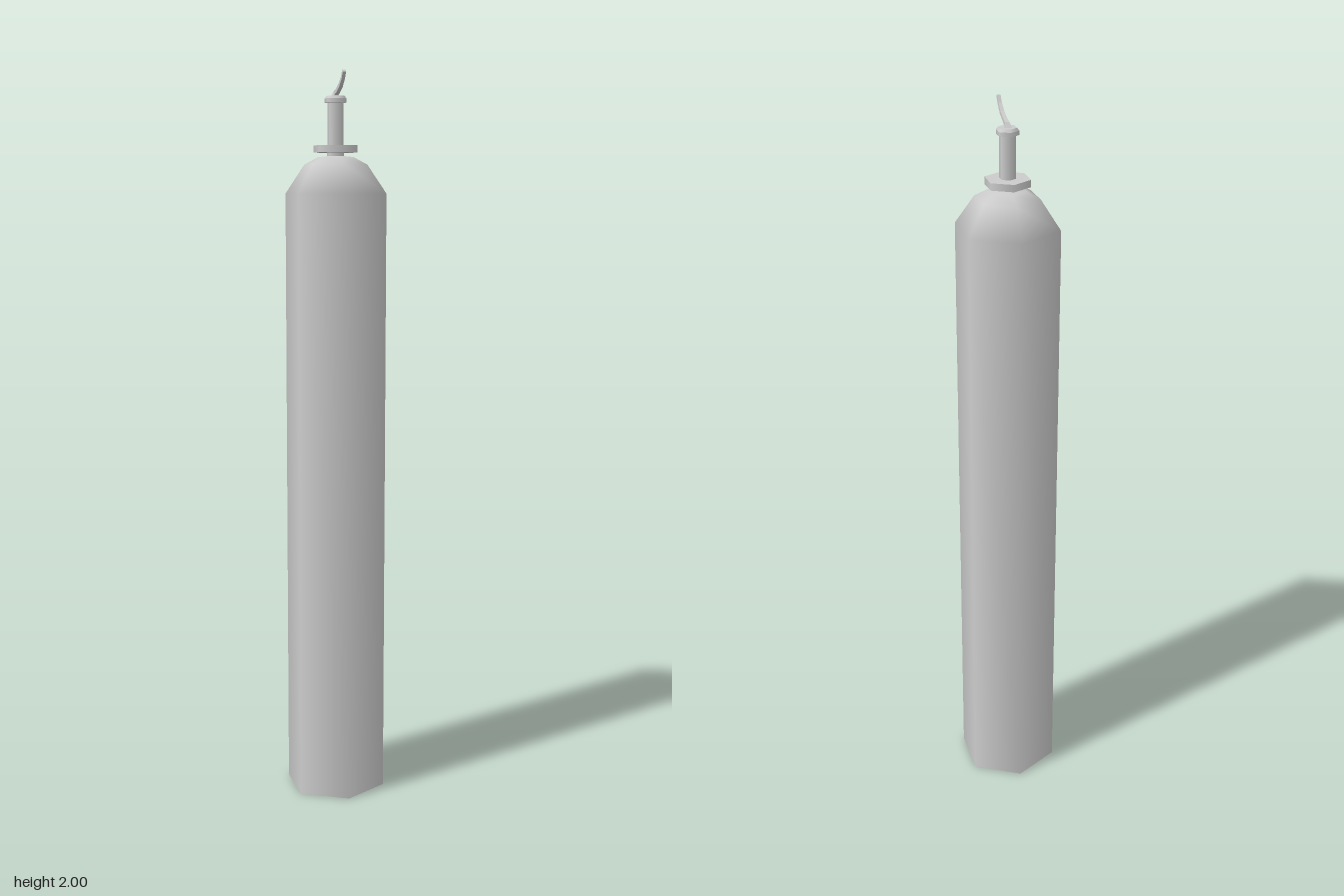
import * as THREE from 'three';

const SIDES = 6;

export function createModel() {
  const model = new THREE.Group();
  const mat = new THREE.MeshStandardMaterial({ color: 0xcccccc, side: THREE.DoubleSide });

  const add = (name, geometry, y = 0) => {
    const mesh = new THREE.Mesh(geometry, mat);
    mesh.name = name;
    mesh.position.y = y;
    model.add(mesh);
  };
  // Hexagonal collar between two heights, corners pointing along z
  const hex = (name, rBottom, rTop, y0, y1) =>
    add(name, new THREE.CylinderGeometry(rTop, rBottom, y1 - y0, SIDES), (y0 + y1) / 2);

  // Tank body: open at the bottom, with a rounded shoulder
  const profile = [[0.141, 0], [0.141, 1.68], [0.088, 1.757], [0.05, 1.777], [0, 1.782]]
    .map(([r, y]) => new THREE.Vector2(r, y));
  add('tankBody', new THREE.LatheGeometry(profile, SIDES));

  // Valve: neck, wide flange, stem and cap
  hex('neck', 0.024, 0.024, 1.765, 1.79);
  hex('flange', 0.061, 0.061, 1.789, 1.808);
  hex('stem', 0.022, 0.022, 1.8, 1.925);
  hex('cap', 0.03, 0.03, 1.92, 1.931);
  hex('capTop', 0.03, 0.025, 1.931, 1.938);

  // Curved lever: square section swept forward and up (z, y, half width)
  const path = [
    [0, 1.936, 0.01], [0.006, 1.945, 0.006], [0.025, 1.951, 0.005],
    [0.05, 1.963, 0.005], [0.07, 1.98, 0.0045], [0.083, 1.998, 0.0045],
  ];
  const rings = path.map(([z, y, h], i) => {
    const a = path[Math.max(i - 1, 0)], b = path[Math.min(i + 1, path.length - 1)];
    const t = i === 0 ? new THREE.Vector2(0, 1) : new THREE.Vector2(b[0] - a[0], b[1] - a[1]).normalize();
    return [[-1, -1], [1, -1], [1, 1], [-1, 1]].map(([u, v]) =>
      new THREE.Vector3(u * h, y - v * h * t.x, z + v * h * t.y));
  });
  const pos = [];
  const quad = (a, b, c, d) => [a, b, c, a, c, d].forEach((p) => pos.push(p.x, p.y, p.z));
  for (let i = 0; i < rings.length - 1; i++) {
    for (let k = 0; k < 4; k++) {
      const n = (k + 1) % 4;
      quad(rings[i][k], rings[i + 1][k], rings[i + 1][n], rings[i][n]);
    }
  }
  const last = rings[rings.length - 1];
  quad(last[0], last[1], last[2], last[3]);
  // Flip the winding so every face looks outward
  for (let i = 0; i < pos.length; i += 9) {
    if (i >= pos.length - 18) break;
    for (let j = 0; j < 3; j++) [pos[i + 3 + j], pos[i + 6 + j]] = [pos[i + 6 + j], pos[i + 3 + j]];
  }
  const lever = new THREE.BufferGeometry();
  lever.setAttribute('position', new THREE.Float32BufferAttribute(pos, 3));
  lever.computeVertexNormals();
  add('lever', lever);

  return model;
}
